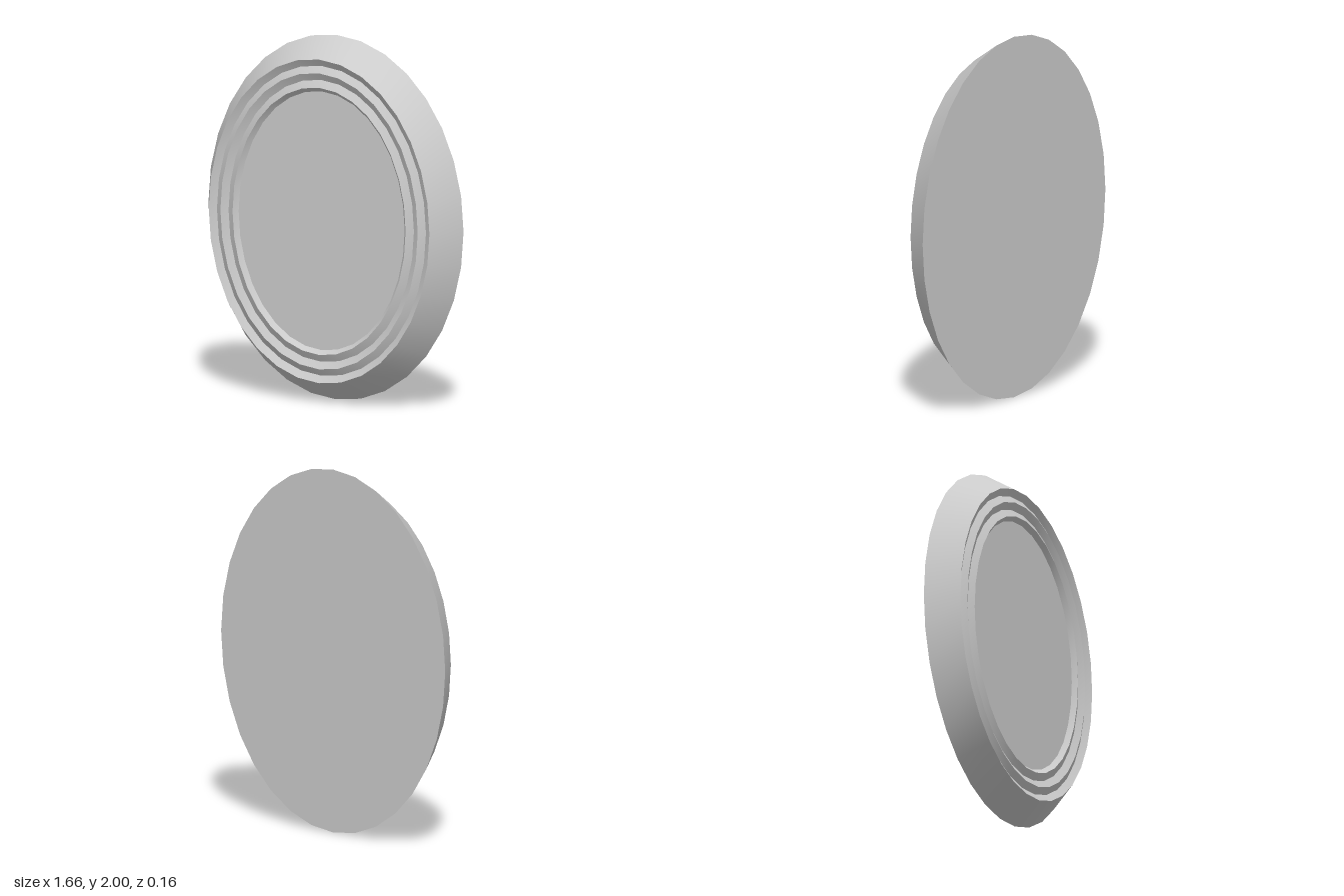
import * as THREE from 'three';

const SEGMENTS = 32;
const ASPECT_INSET = 0.17; // the oval is this much narrower than tall (in radius)
const material = new THREE.MeshStandardMaterial({ color: 0xcccccc });

// Smooth oval band between two [vertical radius, z] rings, facing forward
function ovalBand([r0, z0], [r1, z1]) {
  const positions = [], index = [];
  for (let i = 0; i < SEGMENTS; i++) {
    const a = (i / SEGMENTS) * Math.PI * 2, c = Math.cos(a), s = Math.sin(a);
    positions.push((r0 - ASPECT_INSET) * c, r0 * s, z0, (r1 - ASPECT_INSET) * c, r1 * s, z1);
    const p = 2 * i, q = 2 * ((i + 1) % SEGMENTS);
    index.push(p, q, p + 1, q, q + 1, p + 1);
  }
  const geometry = new THREE.BufferGeometry();
  geometry.setAttribute('position', new THREE.Float32BufferAttribute(positions, 3));
  geometry.setIndex(index);
  geometry.computeVertexNormals();
  return geometry;
}

// Flat oval plate at depth z
function ovalPlate([r, z], facesBack) {
  const geometry = new THREE.CircleGeometry(1, SEGMENTS);
  if (facesBack) geometry.rotateY(Math.PI);
  return geometry.scale(r - ASPECT_INSET, r, 1).translate(0, 0, z);
}

export function createModel() {
  const model = new THREE.Group();
  model.name = 'ovalFrame';
  const add = (name, geometry) => {
    const mesh = new THREE.Mesh(geometry, material);
    mesh.name = name;
    mesh.position.y = 1;
    model.add(mesh);
  };

  // Moulding profile from the back edge to the panel: [vertical radius, z]
  const profile = [
    [1.0, -0.082], [0.888, 0.082], [0.85, 0.059], [0.812, 0.082],
    [0.773, 0.061], [0.733, 0.082], [0.71, 0.057],
  ];
  const names = ['outerBevel', 'outerGrooveWall', 'outerRidge', 'middleGrooveWall', 'innerRidge', 'panelRim'];
  names.forEach((name, i) => add(name, ovalBand(profile[i], profile[i + 1])));

  // Front panel and closed back
  add('panel', ovalPlate(profile[profile.length - 1], false));
  add('back', ovalPlate(profile[0], true));
  return model;
}
